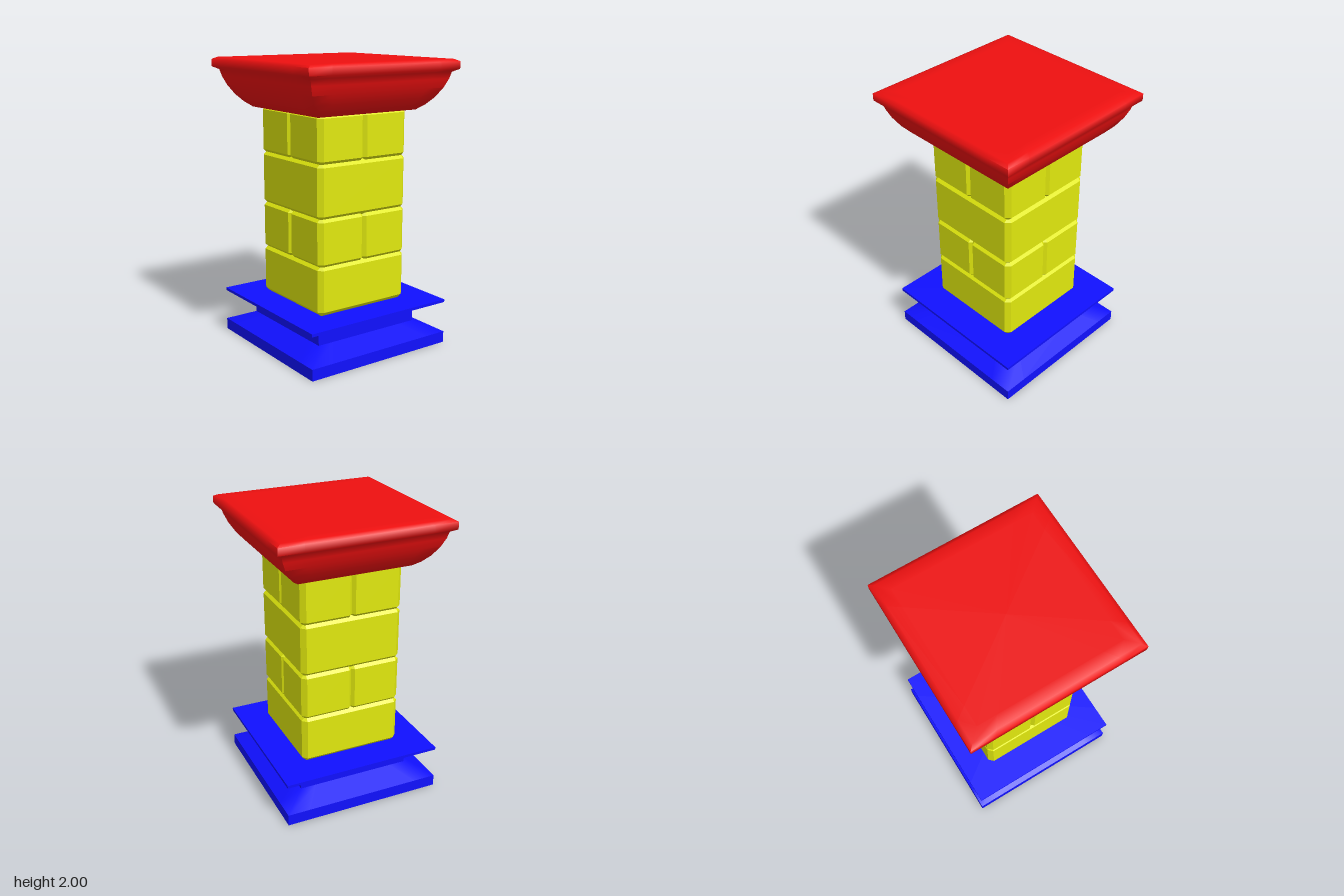
import * as THREE from 'three';
import { toCreasedNormals } from 'three/addons/utils/BufferGeometryUtils.js';
import { ConvexGeometry } from 'three/addons/geometries/ConvexGeometry.js';

const red = new THREE.MeshStandardMaterial({ color: 0xee1010 });
const yellow = new THREE.MeshStandardMaterial({ color: 0xe0e80e });
const blue = new THREE.MeshStandardMaterial({ color: 0x1010ff });

// Square moulding: a [halfWidth, y] profile swept round a square, bottom to top.
// Extra points beside each corner keep the soft shading close to the mitres.
function moulding(profile, crease) {
  const n = 12, pos = [], index = [];
  for (const [r, y] of profile) {
    for (let side = 0; side < 4; side++) {
      for (const t of [-1, -0.72, 0.72]) {
        const p = new THREE.Vector3(t * r, y, r).applyAxisAngle(new THREE.Vector3(0, 1, 0), side * Math.PI / 2);
        pos.push(p.x, p.y, p.z);
      }
    }
  }
  for (let i = 0; i < profile.length - 1; i++) {
    for (let j = 0; j < n; j++) {
      const a = i * n + j, b = i * n + (j + 1) % n;
      if (profile[i][0] > 0) index.push(a, b, b + n);
      if (profile[i + 1][0] > 0) index.push(a, b + n, a + n);
    }
  }
  const geo = new THREE.BufferGeometry();
  geo.setAttribute('position', new THREE.Float32BufferAttribute(pos, 3));
  geo.setIndex(index);
  return toCreasedNormals(geo, crease);
}

// Box with chamfered edges
function chamferedBox(w, h, d, bevel) {
  const points = [];
  for (const sx of [-1, 1]) for (const sy of [-1, 1]) for (const sz of [-1, 1]) {
    for (let axis = 0; axis < 3; axis++) {
      const cut = [bevel, bevel, bevel];
      cut[axis] = 0;
      points.push(new THREE.Vector3(sx * (w / 2 - cut[0]), sy * (h / 2 - cut[1]), sz * (d / 2 - cut[2])));
    }
  }
  return new ConvexGeometry(points);
}

export function createModel() {
  const model = new THREE.Group();
  model.name = 'pillar';
  const add = (name, geo, mat, x = 0, y = 0, z = 0) => {
    const mesh = new THREE.Mesh(geo, mat);
    mesh.name = name;
    mesh.position.set(x, y, z);
    model.add(mesh);
  };

  // Base: plinth, narrow waist and flared top plate
  add('base', moulding([
    [0, 0], [0.565, 0], [0.565, 0.08], [0.405, 0.15], [0.405, 0.23],
    [0.565, 0.3], [0.565, 0.32], [0, 0.32],
  ], 1.1), blue);

  // Shaft: whole and quartered stone courses alternate; stones overlap slightly
  const half = 0.362, bevel = 0.032, lap = 0.012;
  const joints = [0.33, 0.66, 0.985, 1.347, 1.665];
  for (let i = 0; i < 4; i++) {
    const h = joints[i + 1] - joints[i] + 2 * lap;
    const y = (joints[i] + joints[i + 1]) / 2;
    if (i % 2 === 0) {
      add('wholeBlock', chamferedBox(2 * half, h, 2 * half, bevel), yellow, 0, y, 0);
    } else {
      const w = half + lap, c = (half - lap) / 2;
      for (const sx of [-1, 1]) for (const sz of [-1, 1]) {
        add('quarterBlock', chamferedBox(w, h, w, bevel), yellow, sx * c, y, sz * c);
      }
    }
  }

  // Capital: bowl-shaped moulding under a square slab with softened edges
  add('capital', moulding([
    [0, 1.66], [0.4, 1.66], [0.445, 1.695], [0.49, 1.745], [0.53, 1.81], [0.555, 1.87],
    [0.567, 1.915], [0.605, 1.935], [0.605, 1.985], [0.575, 2], [0.5, 2], [0, 2],
  ], 1.35), red);

  return model;
}
